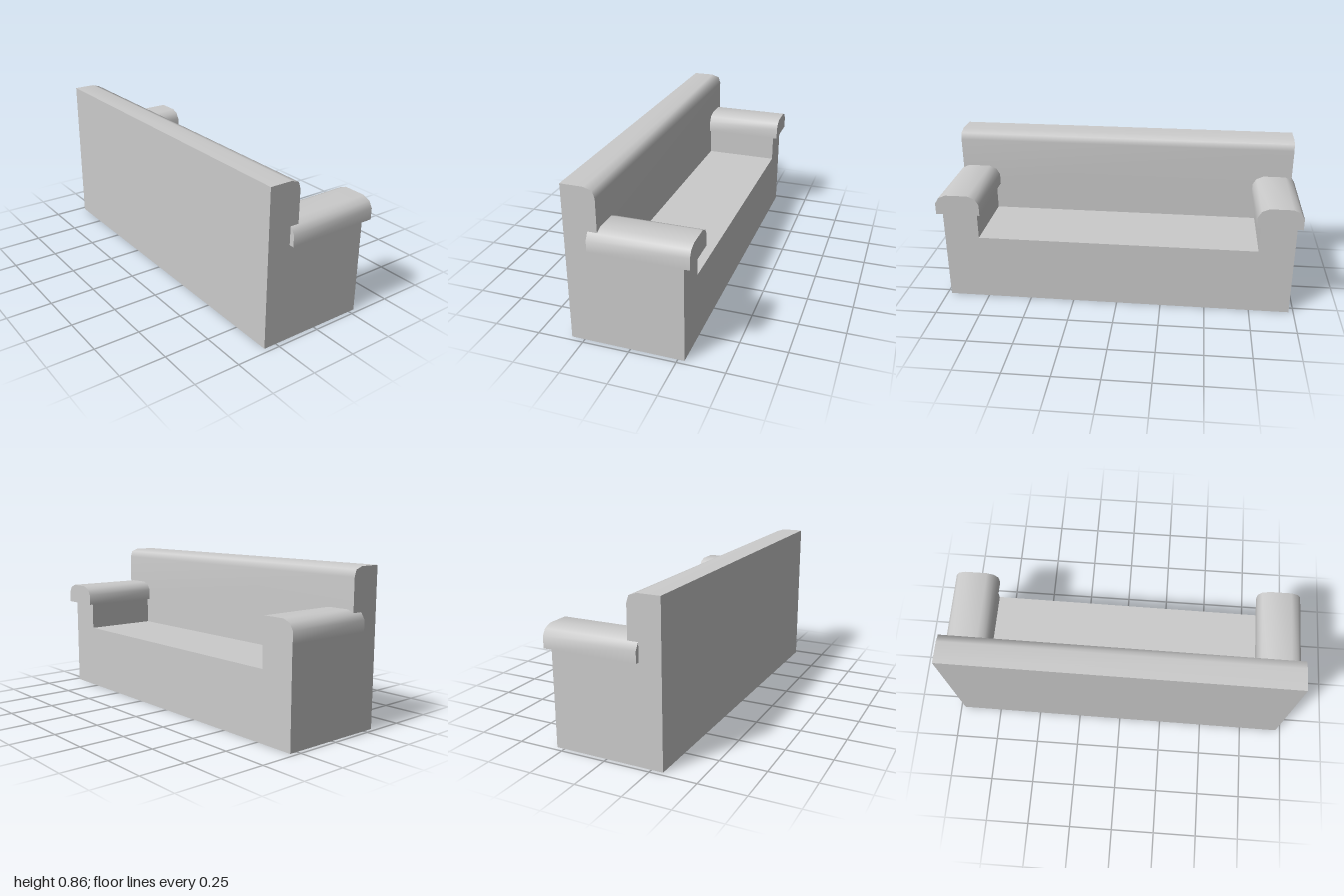
import * as THREE from 'three';
import { toCreasedNormals } from 'three/addons/utils/BufferGeometryUtils.js';

const material = new THREE.MeshStandardMaterial({ color: 0xcccccc, side: THREE.DoubleSide });

// body half width, inner arm face, seat and arm heights, depth limits
const W = 0.975, IN = 0.78, SEAT = 0.375, ARM = 0.53, TOP = 0.857;
const FRONT = -0.29, BACK = 0.317, REST = 0.14;

// rounded front edge of the backrest, as [z, y], from arm height to the rear top edge
const restCurve = [[REST, ARM], [REST, 0.805], [0.152, 0.842], [0.196, TOP], [BACK, TOP]];

function add(parent, name, geometry) {
  const mesh = new THREE.Mesh(geometry, material);
  mesh.name = name;
  parent.add(mesh);
  return mesh;
}

const flat = (points) =>
  new THREE.ShapeGeometry(new THREE.Shape(points.map(([x, y]) => new THREE.Vector2(x, y))));

// smooth strip: a [z, y] profile swept across the width
function strip(profile, half) {
  const positions = [], index = [];
  profile.forEach(([z, y], i) => {
    positions.push(-half, y, z, half, y, z);
    if (i > 0) {
      const a = 2 * (i - 1);
      index.push(a, a + 1, a + 2, a + 1, a + 3, a + 2);
    }
  });
  // wind so that the strip faces forward (-z) and up
  for (let i = 0; i < index.length; i += 3) [index[i + 1], index[i + 2]] = [index[i + 2], index[i + 1]];
  const g = new THREE.BufferGeometry();
  g.setAttribute('position', new THREE.Float32BufferAttribute(positions, 3));
  g.setIndex(index);
  g.computeVertexNormals();
  return g;
}

export function createModel() {
  const sofa = new THREE.Group();
  sofa.name = 'sofa';

  // hollow body, open underneath, set very slightly askew to the armrests
  const body = new THREE.Group();
  body.name = 'body';
  body.rotation.y = -0.005;
  sofa.add(body);

  add(body, 'backPanel', flat([[-W, 0], [W, 0], [W, TOP], [-W, TOP]])).position.z = BACK;

  // front panel dips to the seat between the arms
  const frontPanel = add(body, 'frontPanel', flat([
    [-W, 0], [W, 0], [W, ARM], [IN, ARM], [IN, SEAT], [-IN, SEAT], [-IN, ARM], [-W, ARM],
  ]));
  frontPanel.rotation.y = Math.PI;
  frontPanel.position.z = FRONT;

  add(body, 'seat', strip([[FRONT, SEAT], [REST, SEAT]], IN));
  add(body, 'lowerBackrest', strip([[REST, SEAT], [REST, ARM]], IN));
  add(body, 'backrest', strip(restCurve, W));

  for (const s of [1, -1]) {
    const side = s > 0 ? 'left' : 'right';

    // outer end panel with the backrest outline; shape x becomes -s * z
    const outline = [[FRONT, 0], [FRONT, ARM], ...restCurve, [BACK, 0]];
    const end = add(body, side + 'EndPanel', flat(outline.map(([z, y]) => [-s * z, y])));
    end.rotation.y = s * Math.PI / 2;
    end.position.x = s * W;

    // inner face of the arm
    const inner = add(body, side + 'ArmInnerPanel', flat(
      [[FRONT, SEAT], [REST, SEAT], [REST, ARM], [FRONT, ARM]].map(([z, y]) => [s * z, y])));
    inner.rotation.y = -s * Math.PI / 2;
    inner.position.x = s * IN;

    // armrest: rounded cap overhanging the arm on all open sides
    const h = 0.1225;
    const cap = new THREE.Shape([
      [-h, 0], [h, 0], [h, 0.062], [0.102, 0.096], [0.062, 0.113],
      [-0.062, 0.113], [-0.102, 0.096], [-h, 0.062],
    ].map(([x, y]) => new THREE.Vector2(x, y)));
    const geometry = new THREE.ExtrudeGeometry(cap, { depth: 0.515, bevelEnabled: false });
    add(sofa, side + 'Armrest', toCreasedNormals(geometry, 0.9))
      .position.set(s * (1 - h), ARM, -0.322);
  }
  return sofa;
}
